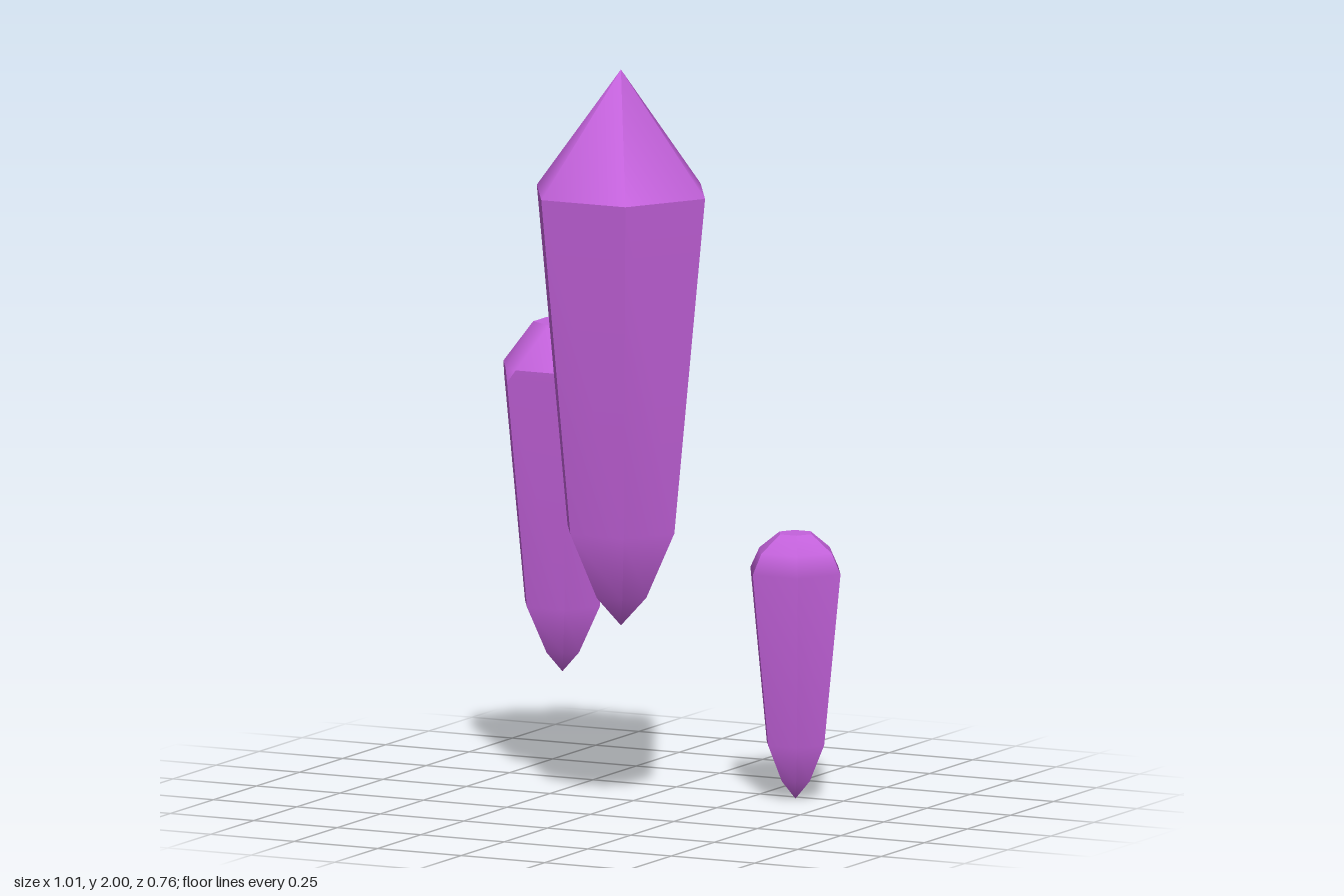
import * as THREE from 'three';
import { mergeGeometries } from 'three/addons/utils/BufferGeometryUtils.js';

const SIDES = 6;
const STEP = (Math.PI * 2) / SIDES;
const material = new THREE.MeshStandardMaterial({ color: 0xc462dc });

const corner = (k, r, y) => new THREE.Vector3(Math.cos(k * STEP) * r, y, Math.sin(k * STEP) * r);

// Point on the hexagon edge from corner k to k + 1, t from 0 to 1
const onEdge = (k, r, y, t) => corner(k, r, y).lerp(corner(k + 1, r, y), t);

function smoothGeometry(points, index) {
  const geometry = new THREE.BufferGeometry().setFromPoints(points);
  geometry.setIndex(index);
  geometry.computeVertexNormals();
  return geometry;
}

// Six panels, each smooth along its height and sharp at the ridges.
// Rows are [radius, y, inset of the row's ends].
function shaftGeometry(rows) {
  const panels = [];
  for (let k = 0; k < SIDES; k++) {
    const points = [];
    const index = [];
    rows.forEach(([r, y, inset = 0], i) => {
      points.push(onEdge(k, r, y, inset), onEdge(k, r, y, 1 - inset));
      if (i === 0) return;
      const a = 2 * i - 2;
      index.push(a, a + 2, a + 3);
      if (rows[i - 1][0] > 0) index.push(a, a + 3, a + 1);
    });
    panels.push(smoothGeometry(points, index));
  }
  return mergeGeometries(panels);
}

// Smooth cap whose bevels cut the corners and leave a zigzag rim
function bevelledCapGeometry(corners, rim, top) {
  const points = [];
  const index = [];
  for (let k = 0; k < SIDES; k++) {
    points.push(
      onEdge(k - 1, rim[0], rim[1], 1 - rim[2]),
      corner(k, ...corners),
      onEdge(k, rim[0], rim[1], rim[2]),
      corner(k + 0.5, ...top)
    );
    const [p, c, q, t] = [0, 1, 2, 3].map((i) => 4 * k + i);
    const before = 4 * ((k + SIDES - 1) % SIDES) + 3;
    const next = 4 * ((k + 1) % SIDES);
    index.push(p, before, t, p, t, q, p, q, c, q, t, next);
  }
  return smoothGeometry(points, index);
}

// Flat hexagonal top
function flatTopGeometry(radius, y, turn) {
  return new THREE.CircleGeometry(radius, SIDES, turn).rotateX(-Math.PI / 2).translate(0, y, 0);
}

function addCrystal(model, name, x, z, parts) {
  const crystal = new THREE.Group();
  crystal.name = name;
  crystal.position.set(x, 0, z);
  for (const [part, geometry] of Object.entries(parts)) {
    const mesh = new THREE.Mesh(geometry, material);
    mesh.name = part;
    crystal.add(mesh);
  }
  model.add(crystal);
}

export function createModel() {
  const model = new THREE.Group();
  model.name = 'crystals';

  // Tall crystal with a pointed cap
  addCrystal(model, 'tallCrystal', 0.045, 0.16, {
    shaft: shaftGeometry([[0, 0.5], [0.076, 0.58], [0.16, 0.76], [0.252, 1.67]]),
    pointedCap: new THREE.ConeGeometry(0.252, 0.33, SIDES, 1, true, Math.PI / 2).translate(0, 1.835, 0),
  });

  // Middle crystal with cut corners
  const shoulder = [0.175, 1.085];
  const rim = [0.178, 1.12, 0.16];
  addCrystal(model, 'middleCrystal', -0.33, -0.227, {
    shaft: shaftGeometry([[0, 0.29], [0.05, 0.345], [0.112, 0.473], shoulder, rim]),
    bevelledCap: bevelledCapGeometry(shoulder, rim, [0.078, 1.235]),
    flatTop: flatTopGeometry(0.078, 1.235, STEP / 2),
  });

  // Small crystal with a rounded shoulder
  addCrystal(model, 'smallCrystal', 0.368, -0.227, {
    shaft: shaftGeometry([[0, 0], [0.043, 0.05], [0.086, 0.15], [0.135, 0.615], [0.108, 0.67], [0.048, 0.717]]),
    flatTop: flatTopGeometry(0.048, 0.717, 0),
  });

  return model;
}
